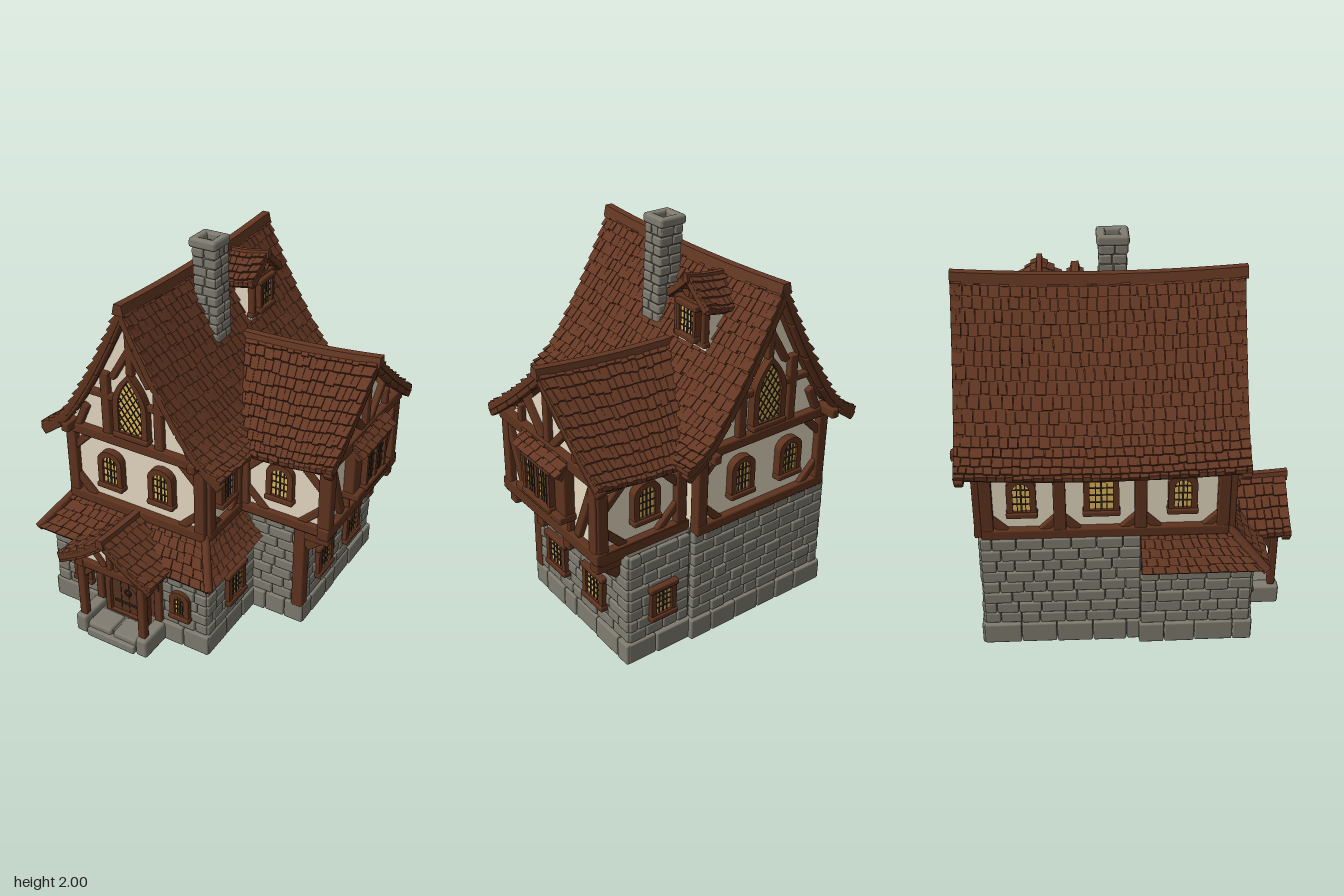
import * as THREE from 'three';
import { mergeGeometries } from 'three/addons/utils/BufferGeometryUtils.js';
import { RoundedBoxGeometry } from 'three/addons/geometries/RoundedBoxGeometry.js';

const COLORS = { tile: 0x643723, timber: 0x5e331e, stone: 0x807c71, mortar: 0x646058, plaster: 0xf5e8cf,
  glass: 0xdfb95e, door: 0x57321f, iron: 0x35271d };
const lerp = THREE.MathUtils.lerp;

export function createModel() {
  const mats = {}, parts = new Map();
  for (const k in COLORS) { mats[k] = new THREE.MeshStandardMaterial({ color: COLORS[k] }); mats[k].name = k; }
  let M = new THREE.Matrix4(), seed = 7;
  const rnd = (a, b) => { seed = (seed * 16807) % 2147483647; return a + (b - a) * seed / 2147483647; };

  // Collects a piece under its part name, placed in the current frame
  const put = (part, mat, geo) => {
    const g = geo.index ? geo.toNonIndexed() : geo;
    g.deleteAttribute('uv');
    g.applyMatrix4(M);
    const key = part + '|' + mat;
    if (!parts.has(key)) parts.set(key, []);
    parts.get(key).push(g);
  };
  // Frame with its own x across, y up and z outward
  const at = (x, y, z, ry, fn) => {
    M = new THREE.Matrix4().makeRotationY(ry).setPosition(x, y, z);
    fn();
    M = new THREE.Matrix4();
  };
  const R = Math.PI / 2, L = -Math.PI / 2, BACK = Math.PI;

  const block = (part, mat, x, y, z, w, h, d, r = 0.008) =>
    put(part, mat, (r ? new RoundedBoxGeometry(w, h, d, 1, r) : new THREE.BoxGeometry(w, h, d)).translate(x, y, z));
  const span = (part, mat, x0, x1, y0, y1, z0, z1) =>
    block(part, mat, (x0 + x1) / 2, (y0 + y1) / 2, (z0 + z1) / 2, x1 - x0, y1 - y0, z1 - z0, 0);
  const beam = (part, x1, y1, x2, y2, w = 0.05, d = 0.05, z = 0.005, mat = 'timber', r = 0.008) => {
    const len = Math.hypot(x2 - x1, y2 - y1);
    const g = r ? new RoundedBoxGeometry(len, w, d, 1, r) : new THREE.BoxGeometry(len, w, d);
    put(part, mat, g.rotateZ(Math.atan2(y2 - y1, x2 - x1)).translate((x1 + x2) / 2, (y1 + y2) / 2, z));
  };
  const warp = (part, mat, fn, segs = 1) => {
    const g = new THREE.BoxGeometry(1, 1, 1, 1, 1, segs).toNonIndexed(), p = g.attributes.position;
    for (let i = 0; i < p.count; i++) {
      const v = fn(p.getX(i) + 0.5, p.getY(i) + 0.5, p.getZ(i) + 0.5);
      p.setXYZ(i, v.x, v.y, v.z);
    }
    g.computeVertexNormals();
    put(part, mat, g);
  };

  // Courses of stone on the current face
  const stones = (part, u0, u1, v0, v1, rowH = 0.062, len = 0.11, depth = 0.04) => {
    const rows = Math.max(1, Math.round((v1 - v0) / rowH)), h = (v1 - v0) / rows;
    for (let r = 0; r < rows; r++) {
      let u = u0;
      while (u < u1 - 0.002) {
        let w = len * rnd(0.7, 1.3) * (u === u0 && r % 2 ? 0.6 : 1);
        if (u1 - u - w < len * 0.5) w = u1 - u;
        block(part, 'stone', u + w / 2, v0 + (r + 0.5) * h, rnd(-0.005, 0.003), w - 0.003, h - 0.003, depth, 0.009);
        u += w;
      }
    }
  };

  // Roof surface f(s along, t down) covered in overlapping tiles on a deck
  const slope = (part, f0, rows, cols) => {
    const e = 0.01, n0 = f0(0.5, 0.5 + e).sub(f0(0.5, 0.5)).cross(f0(0.5 + e, 0.5).sub(f0(0.5, 0.5)));
    const f = n0.y > 0 ? f0 : (s, t) => f0(1 - s, t);
    const off = (s, t, h) => {
      const c = f(s, t), q = t > 0.5 ? -e : e;
      const n = f(s, t + q).sub(c).cross(f(s < 0.5 ? s + e : s - e, t).sub(c)).normalize();
      return c.addScaledVector(n, n.y < 0 ? -h : h);
    };
    for (let r = 0; r < rows; r++) {
      for (let k = 0; k < 4; k++) warp(part + ' deck', 'timber', (x, y, z) => off((k + x) / 4, (r + z) / rows, lerp(-0.025, 0, y)));
      let s = 0;
      while (s < 1 - 1e-4) {
        let w = rnd(0.75, 1.25) / cols * (s === 0 && r % 2 ? 0.5 : 1);
        if (1 - s - w < 0.5 / cols) w = 1 - s;
        const s0 = s, lift = rnd(0.016, 0.024), drop = rnd(0, 0.22), gap = 0.03 / cols;
        warp(part + ' tiles', 'tile', (x, y, z) => off(lerp(s0 + gap, s0 + w - gap, x), Math.min((r + z * (1 + drop)) / rows, 1.02),
          y ? lerp(0.004, lift, z) : -0.003));
        s += w;
      }
    }
  };
  // Curved gable roof with its ridge along local z
  const gableRoof = (part, pts, z0, z1, rows, cols, sag, skew = 0, cap = 0.05) => {
    const curve = new THREE.SplineCurve(pts.map(p => new THREE.Vector2(...p)));
    for (const side of [-1, 1]) {
      slope(part, (s, t) => {
        const p = curve.getPoint(Math.min(t, 1));
        return new THREE.Vector3(side * (p.x + Math.max(0, t - 1) * 0.4), p.y + sag(s), lerp(z0 + skew * t, z1, s));
      }, rows, cols);
      for (const [end, z] of skew || sag(0) === 0 ? [[1, z1 - 0.025]] : [[0, z0 + 0.025], [1, z1 - 0.025]])
        for (let i = 0; i < 5; i++) {
          const a = curve.getPoint(i / 5), b = curve.getPoint((i + 1) / 5), y = sag(end) - cap * 0.7;
          beam(part + ' bargeboard', side * a.x, a.y + y, side * b.x, b.y + y, cap, 0.045, z);
        }
    }
    warp(part + ' ridge', 'tile', (x, y, z) => new THREE.Vector3((x - 0.5) * cap * (y ? 0.8 : 1.3),
      pts[0][1] + sag(z) + lerp(-0.03, cap * 0.5, y), lerp(z0, z1 + 0.01, z)), 12);
    return curve;
  };
  // Solid wall body with a gable top under the roof
  const gableBody = (part, curve, half, y0, z0, z1) => {
    const top = [];
    for (let i = 0; i <= 16; i++) { const p = curve.getPoint(i / 16); if (p.x < half) top.push([p.x, p.y - 0.035]); }
    const last = top[top.length - 1][1] - 0.02;
    const right = [[half, y0], [half, last], ...top.slice(1).reverse()];
    const all = [...right, top[0], ...right.slice().reverse().map(([x, y]) => [-x, y])];
    put(part, 'plaster', new THREE.ExtrudeGeometry(new THREE.Shape(all.map(p => new THREE.Vector2(...p))),
      { depth: z1 - z0, bevelEnabled: false }).translate(0, 0, z0));
  };

  // Openings: half width at each height, then outline
  const SPRING = { rect: 1, round: 0.72, gothic: 0.5 };
  const halfAt = (type, w, h, y) => {
    const k = Math.max(0, (y / h - SPRING[type]) / (1 - SPRING[type] || 1));
    return w / 2 * (type === 'gothic' ? 1 - k ** 1.8 : Math.sqrt(Math.max(0, 1 - k * k)));
  };
  const outline = (type, w, h, x, y) => {
    const pts = [[w / 2, 0]], n = type === 'rect' ? 0 : 10;
    for (let i = 0; i <= n; i++) {
      const v = h * lerp(SPRING[type], 1, n ? i / n : 1);
      pts.push([n ? halfAt(type, w, h, v) : w / 2, v]);
    }
    const left = pts.filter(p => p[0] > 1e-6).reverse().map(([a, b]) => [-a, b]);
    return [...pts, ...left].map(([a, b]) => new THREE.Vector2(a + x, b + y));
  };
  const ext = (part, mat, pts, z, depth, hole) => {
    const s = new THREE.Shape(pts);
    if (hole) s.holes.push(new THREE.Path(hole));
    put(part, mat, new THREE.ExtrudeGeometry(s, { depth, bevelEnabled: false }).translate(0, 0, z));
  };
  const windowAt = (x, y, w, h, type = 'round', f = 0.03, z = 0) => {
    const iw = w - 2 * f, ih = h - 2 * f, y0 = y + f;
    ext('window frame', 'timber', outline(type, w, h, x, y), z, 0.042, outline(type, iw, ih, x, y0));
    ext('window glass', 'glass', outline(type, iw, ih, x, y0), z + 0.022, 0.006);
    const bar = (a, b, c, d, t = 0.005) => beam('window lattice', a, b, c, d, t, 0.01, z + 0.029, 'iron', 0);
    if (type === 'gothic') {
      for (const m of [-1, 1]) for (let k = -3; k < 8; k++) {
        const inside = [];
        for (let i = 0; i <= 40; i++) {
          const u = (i / 40 - 0.5) * iw, v = k * 0.05 + m * u * 1.4;
          if (v >= 0 && v <= ih && Math.abs(u) <= halfAt(type, iw, ih, v)) inside.push([u, v]);
        }
        if (inside.length > 2) { const a = inside[0], b = inside.at(-1); bar(x + a[0], y0 + a[1], x + b[0], y0 + b[1], 0.004); }
      }
    } else {
      bar(x, y0, x, y0 + ih, 0.009);
      for (const q of [-0.25, 0.25]) bar(x + q * iw, y0, x + q * iw, y0 + ih * 0.9, 0.004);
      for (const q of [0.25, 0.5, 0.75]) bar(x - iw / 2, y0 + q * ih, x + iw / 2, y0 + q * ih, 0.004);
    }
    beam('window sill', x - w / 2 - 0.006, y + 0.012, x + w / 2 + 0.006, y + 0.012, 0.03, 0.055, z + 0.025);
    if (type === 'rect') beam('window lintel', x - w / 2 - 0.01, y + h - 0.008, x + w / 2 + 0.01, y + h - 0.008, 0.03, 0.05, z + 0.025);
  };
  // Framed bay with four corner braces
  const bay = (u0, u1, v0 = 0.66, v1 = 1.07, c = 0.12) => {
    for (const u of [u0, u1]) beam('wall post', u, v0, u, v1, 0.06, 0.06);
    for (const v of [v0, v1]) beam('wall rail', u0 - 0.03, v, u1 + 0.03, v, 0.055, 0.065);
    for (const [u, m] of [[u0, 1], [u1, -1]]) for (const [v, n] of [[v0, 1], [v1, -1]])
      beam('wall brace', u, v + n * c * 1.1, u + m * c * 1.1, v, 0.04, 0.04);
  };

  // Stone ground floor
  span('ground wall', 'mortar', -0.65, 0.18, 0, 0.64, -0.72, 0.48);
  span('ground wall', 'mortar', -0.69, 0.24, 0, 0.5, 0.05, 0.59);
  span('ground wall', 'mortar', 0.1, 0.54, 0, 0.63, -0.69, 0.12);
  const course = (u0, u1, top) => {
    stones('ground stones', u0, u1, 0.12, top);
    stones('foundation', u0 - 0.01, u1 + 0.015, 0, 0.12, 0.12, 0.15, 0.06);
  };
  at(0, 0, 0.59, 0, () => { course(-0.7, 0.25, 0.5); windowAt(-0.51, 0.185, 0.115, 0.175); windowAt(0.1, 0.185, 0.115, 0.175); });
  at(0.24, 0, 0, R, () => { course(-0.6, -0.12, 0.5); windowAt(-0.345, 0.205, 0.17, 0.195, 'rect'); });
  at(-0.69, 0, 0, L, () => course(0.05, 0.6, 0.52));
  at(-0.66, 0, 0, L, () => course(-0.73, 0.05, 0.64));
  at(0, 0, -0.72, BACK, () => course(-0.19, 0.67, 0.64));
  at(0, 0, -0.69, BACK, () => { course(-0.55, -0.19, 0.63); windowAt(-0.36, 0.22, 0.15, 0.19, 'rect'); });
  at(0, 0, 0.12, 0, () => course(0.24, 0.55, 0.63));
  at(0.54, 0, 0, R, () => { course(-0.13, 0.7, 0.63); for (const u of [0.09, 0.43]) windowAt(u, 0.215, 0.175, 0.195, 'rect'); });

  // Main house
  const C = -0.23;
  at(C, 0, 0, 0, () => {
    const c = gableRoof('main roof', [[0, 1.81], [0.1, 1.61], [0.24, 1.36], [0.39, 1.14], [0.53, 1.03]], -0.82, 0.56, 17, 30,
      s => 0.025 * (2 * s - 1) ** 2 + 1e-4);
    gableBody('main upper wall', c, 0.4, 0.62, -0.72, 0.48);
    for (const m of [-1, 1]) for (const z of [-0.78, 0.51]) block('purlin end', 'timber', m * 0.375, 1.09, z, 0.045, 0.05, 0.12);
  });
  for (const [z, ry] of [[0.48, 0], [-0.72, BACK]]) at(C, 0, z, ry, () => {
    bay(-0.385, 0.385);
    windowAt(-0.143, 0.77, 0.145, 0.22); windowAt(0.163, 0.77, 0.145, 0.22);
    windowAt(0, 1.11, 0.2, 0.365, 'gothic', 0.032);
    for (const m of [-1, 1]) {
      beam('gable post', m * 0.155, 1.08, m * 0.155, 1.44, 0.05);
      beam('gable rail', m * 0.08, 1.31, m * 0.26, 1.31, 0.035);
      beam('gable brace', m * 0.34, 1.09, m * 0.28, 1.22, 0.04);
      beam('gable brace', m * 0.11, 1.42, 0, 1.6, 0.035);
    }
    beam('gable post', 0, 1.46, 0, 1.74, 0.04);
  });
  at(-0.63, 0, 0, L, () => {
    bay(-0.69, -0.34, 0.66, 1.05, 0.09); bay(-0.34, 0.05, 0.66, 1.05, 0.09); bay(0.05, 0.45, 0.66, 1.05, 0.09);
    windowAt(-0.52, 0.77, 0.14, 0.22); windowAt(-0.14, 0.77, 0.17, 0.22, 'rect'); windowAt(0.25, 0.77, 0.14, 0.22);
  });
  at(0.17, 0, 0, R, () => { bay(-0.455, -0.17, 0.66, 1.05, 0.09); windowAt(-0.31, 0.77, 0.15, 0.22); });

  // Jettied side wing
  span('wing floor', 'timber', 0.1, 0.685, 0.62, 0.68, -0.67, 0.16);
  at(0, 0, -0.24, R, () => {
    const c = gableRoof('wing roof', [[0, 1.42], [0.25, 1.21], [0.485, 1.035]], -0.03, 0.735, 11, 17, s => 0.05 * s * s, 0.28);
    gableBody('wing upper wall', c, 0.39, 0.64, 0.1, 0.67);
  });
  at(0.67, 0, -0.24, R, () => {
    for (const v of [0.66, 1.07]) beam('wing rail', -0.43, v, 0.43, v, 0.065, 0.065);
    for (const m of [-1, 1]) {
      beam('wing post', m * 0.385, 0.62, m * 0.385, 1.07, 0.06, 0.06);
      beam('wing brace', m * 0.37, 1.02, m * 0.24, 0.7, 0.045);
      beam('wing gable brace', m * 0.04, 1.09, m * 0.2, 1.26, 0.04);
      beam('wing gable post', m * 0.24, 1.08, m * 0.24, 1.19, 0.035);
    }
    beam('wing gable post', 0, 1.08, 0, 1.4, 0.045);
    // Projecting window with hood and balusters
    block('oriel', 'timber', 0, 0.905, 0.03, 0.4, 0.27, 0.06);
    for (const u of [-0.055, 0.055]) windowAt(u, 0.785, 0.13, 0.23, 'rect', 0.022, 0.05);
    beam('oriel sill', -0.205, 0.775, 0.205, 0.775, 0.04, 0.1, 0.04);
    for (let i = 0; i < 6; i++) beam('oriel baluster', -0.18 + i * 0.072, 0.69, -0.18 + i * 0.072, 0.77, 0.02, 0.05, 0.01);
    slope('oriel hood', (s, t) => new THREE.Vector3(lerp(-0.2, 0.2, s), lerp(1.1, 1.01, t), lerp(0, 0.09, t)), 3, 7);
  });
  for (const z of [0.12, -0.14, -0.38, -0.62]) at(0, 0, z, 0, () => {
    block('jetty bracket', 'timber', 0.61, 0.6, 0, 0.17, 0.07, 0.06);
    beam('jetty bracket', 0.56, 0.52, 0.65, 0.6, 0.06, 0.055, 0);
  });
  block('corner post', 'timber', 0.53, 0.37, 0.12, 0.065, 0.52, 0.065);
  at(0, 0, 0.14, 0, () => { bay(0.21, 0.665, 0.66, 1.03, 0.13); windowAt(0.42, 0.77, 0.15, 0.22); });
  at(0, 0, -0.63, BACK, () => { bay(-0.665, -0.21, 0.66, 1.03, 0.13); windowAt(-0.42, 0.77, 0.15, 0.22); });

  // Skirt roof around the front of the ground floor
  const skirt = (a, b, c, d, rows, cols) => slope('skirt roof', (s, t) => {
    const v = p => new THREE.Vector3(...p);
    const q = v(a).lerp(v(b), s).lerp(v(d).lerp(v(c), s), t);
    return q.setY(q.y - 0.05 * t * (1 - t));
  }, rows, cols);
  const [tl, tr, bl, br] = [[-0.63, 0.655, 0.48], [0.17, 0.655, 0.48], [-0.76, 0.475, 0.665], [0.3, 0.475, 0.665]];
  skirt(tl, tr, br, bl, 5, 19);
  skirt(tr, [0.17, 0.655, 0.14], [0.3, 0.475, 0.14], br, 5, 9);
  skirt([-0.63, 0.655, 0.05], tl, bl, [-0.76, 0.475, 0.05], 5, 11);
  for (const [a, b] of [[tl, bl], [tr, br]]) {
    const line = new THREE.LineCurve3(new THREE.Vector3(...a), new THREE.Vector3(...b));
    put('skirt hip', 'tile', new THREE.TubeGeometry(line, 4, 0.024, 6));
  }

  // Porch
  at(-0.22, 0, 0, 0, () => {
    const c = gableRoof('porch roof', [[0, 0.665], [0.14, 0.555], [0.28, 0.475]], 0.45, 0.83, 6, 8, s => 0.02 * s * s, 0, 0.04);
    gableBody('porch gable', c, 0.19, 0.46, 0.6, 0.755);
    span('porch floor', 'mortar', -0.19, 0.19, 0, 0.07, 0.58, 0.77);
    for (const m of [-1, 1]) {
      for (const z of [0.61, 0.76]) block('porch post', 'timber', m * 0.185, 0.29, z, 0.045, 0.36, 0.04);
      block('porch plinth', 'stone', m * 0.19, 0.055, 0.7, 0.07, 0.11, 0.2, 0.015);
      block('porch rail', 'timber', m * 0.185, 0.46, 0.69, 0.05, 0.05, 0.19);
      beam('porch brace', m * 0.18, 0.37, m * 0.1, 0.45, 0.03, 0.03, 0.755);
      beam('porch gable brace', m * 0.03, 0.48, m * 0.1, 0.56, 0.03, 0.03, 0.76);
    }
    block('porch step', 'stone', -0.08, 0.04, 0.72, 0.15, 0.08, 0.14, 0.015);
    block('porch step', 'stone', 0.08, 0.04, 0.72, 0.15, 0.08, 0.14, 0.015);
    block('porch step', 'stone', 0, 0.025, 0.785, 0.3, 0.05, 0.05, 0.01);
    beam('porch beam', -0.21, 0.46, 0.21, 0.46, 0.05, 0.05, 0.755);
    beam('porch gable post', 0, 0.47, 0, 0.63, 0.035, 0.035, 0.76);
    // Door
    span('door surround', 'timber', -0.17, 0.17, 0.07, 0.46, 0.58, 0.615);
    ext('door frame', 'timber', outline('gothic', 0.27, 0.375, 0, 0.07), 0.615, 0.03, outline('gothic', 0.21, 0.33, 0, 0.08));
    ext('door', 'door', outline('gothic', 0.21, 0.33, 0, 0.08), 0.61, 0.012);
    for (const u of [-0.05, 0, 0.05]) beam('door groove', u, 0.08, u, u ? 0.33 : 0.4, 0.004, 0.004, 0.623, 'iron', 0);
    for (const v of [0.14, 0.29]) beam('door hinge', -0.09, v, 0.05, v, 0.012, 0.008, 0.625, 'iron', 0);
    put('door ring', 'iron', new THREE.TorusGeometry(0.018, 0.005, 6, 14).translate(0, 0.22, 0.63));
  });
  // Pointed arches in the porch sides
  for (const x of [-0.42, -0.05]) at(x, 0, 0, R, () =>
    ext('porch arch', 'timber', outline('rect', 0.17, 0.36, -0.685, 0.1), 0, 0.03, outline('gothic', 0.12, 0.33, -0.685, 0.105)));

  // Dormer
  at(0, 0, -0.41, R, () => {
    const c = gableRoof('dormer roof', [[0, 1.79], [0.075, 1.725], [0.15, 1.665]], -0.22, 0.01, 5, 6, s => 0.03 * s * s, 0.07, 0.03);
    gableBody('dormer wall', c, 0.11, 1.36, -0.2, -0.03);
  });
  at(-0.03, 0, -0.41, R, () => {
    for (const m of [-1, 1]) {
      beam('dormer post', m * 0.1, 1.49, m * 0.1, 1.69, 0.025, 0.04);
      beam('dormer brace', m * 0.02, 1.7, m * 0.06, 1.73, 0.015, 0.03);
    }
    for (const v of [1.5, 1.69]) beam('dormer rail', -0.12, v, 0.12, v, 0.028, 0.04);
    beam('dormer post', 0, 1.69, 0, 1.78, 0.022, 0.03);
    windowAt(0, 1.505, 0.14, 0.18, 'rect', 0.02);
  });

  // Chimney, leaning slightly towards the ridge
  for (let r = 0; r < 12; r++) {
    const h = 0.049, y = 1.365 + r * h, x = -0.1 - r * 0.002;
    span('chimney core', 'mortar', x - 0.06, x + 0.06, y, y + h, -0.12, 0);
    for (let k = 0; k < 4; k++) at(x + 0.058 * Math.sin(k * R), 0, -0.06 + 0.058 * Math.cos(k * R), k * R, () =>
      stones('chimney stones', -0.066, 0.066, y, y + h, h, 0.066, 0.022));
  }
  at(-0.125, 0, -0.06, 0, () => {
    for (const m of [-1, 1]) {
      block('chimney cap', 'stone', m * 0.055, 1.975, 0, 0.045, 0.05, 0.155, 0.015);
      block('chimney cap', 'stone', 0, 1.975, m * 0.055, 0.155, 0.05, 0.045, 0.015);
    }
    block('chimney flue', 'tile', 0, 1.955, 0, 0.08, 0.02, 0.08, 0);
  });

  const group = new THREE.Group();
  group.name = 'timberFramedHouse';
  for (const [key, list] of parts) {
    const [name, mat] = key.split('|');
    const mesh = new THREE.Mesh(mergeGeometries(list), mats[mat]);
    mesh.name = name;
    group.add(mesh);
  }
  return group;
}
